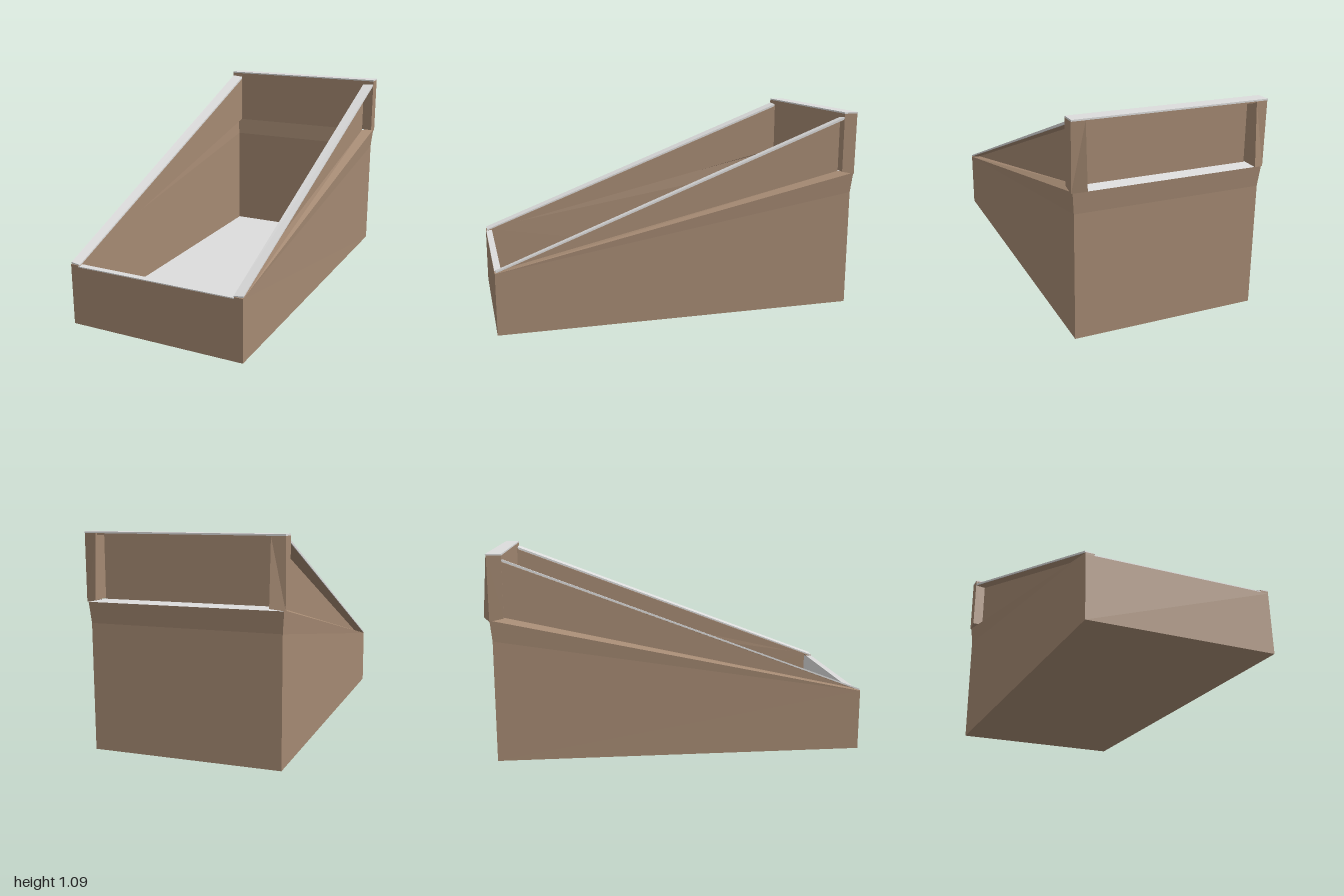
import * as THREE from 'three';

const brown = new THREE.MeshStandardMaterial({ name: 'brown timber', color: 0xa48972, side: THREE.DoubleSide, flatShading: true });
const grey = new THREE.MeshStandardMaterial({ name: 'pale grey', color: 0xdcdcdc, side: THREE.DoubleSide, flatShading: true });

// Mesh from a list of flat polygons, each cut into a fan of triangles
function faces(name, material, polygons) {
  const pos = [];
  for (const p of polygons)
    for (let i = 1; i < p.length - 1; i++) pos.push(...p[0], ...p[i], ...p[i + 1]);
  const geo = new THREE.BufferGeometry();
  geo.setAttribute('position', new THREE.Float32BufferAttribute(pos, 3));
  geo.computeVertexNormals();
  const mesh = new THREE.Mesh(geo, material);
  mesh.name = name;
  return mesh;
}

// Closed solid between two matching end loops
function loft(name, material, a, b) {
  const sides = a.map((p, i) => {
    const j = (i + 1) % a.length;
    return [p, a[j], b[j], b[i]];
  });
  return faces(name, material, [[...a].reverse(), b, ...sides]);
}

function box(name, material, x0, x1, y0, y1, z0, z1) {
  const mesh = new THREE.Mesh(new THREE.BoxGeometry(x1 - x0, y1 - y0, z1 - z0), material);
  mesh.position.set((x0 + x1) / 2, (y0 + y1) / 2, (z0 + z1) / 2);
  mesh.name = name;
  return mesh;
}

// One side of the bin: wall, ledge, inset panel, sloping rail and rear post
function buildSide(s) {
  const side = new THREE.Group();
  side.name = s > 0 ? 'leftSide' : 'rightSide';
  const P = (x, y, z) => [s * x, y, z];

  side.add(faces('lowerSideWall', brown, [[
    P(0.485, 0.325, 0.995), P(0.485, 0, 0.995), P(0.485, 0, -0.955),
    P(0.487, 0.64, -0.955), P(0.496, 0.75, -0.965),
  ]]));
  side.add(faces('sideLedge', brown, [[
    P(0.485, 0.325, 0.995), P(0.496, 0.75, -0.965), P(0.44, 0.755, -0.9), P(0.44, 0.325, 0.995),
  ]]));
  side.add(faces('upperSidePanel', brown, [[
    P(0.44, 0.325, 0.99), P(0.44, 0.755, -0.9), P(0.44, 1.045, -0.9),
  ]]));

  // Rail with a pale top and a brown underside
  const end = (xo, y, z, t) => [P(0.435, y - 0.007, z), P(xo, y, z), P(xo, y - t, z), P(0.435, y - 0.007 - t, z)];
  side.add(loft('slopingRail', grey, end(0.485, 0.338, 0.99, 0.008), end(0.502, 1.06, -0.895, 0.012)));
  side.add(faces('railUnderside', brown, [[
    P(0.435, 0.321, 0.99), P(0.484, 0.328, 0.99), P(0.5, 1.046, -0.895), P(0.435, 1.039, -0.895),
  ]]));

  // Wedge-shaped rear post, flaring backwards at its foot
  side.add(loft('rearPost', brown,
    [P(0.503, 0.76, -0.893), P(0.503, 0.745, -0.965), P(0.437, 0.758, -1), P(0.437, 0.76, -0.9)],
    [P(0.503, 1.076, -0.893), P(0.503, 1.078, -0.968), P(0.437, 1.078, -0.978), P(0.437, 1.076, -0.9)]));
  return side;
}

export function createModel() {
  const model = new THREE.Group();
  model.name = 'slopedBin';
  for (const s of [1, -1]) model.add(buildSide(s));

  // Floor, brown below and pale above
  model.add(box('floorBase', brown, -0.485, 0.485, 0, 0.004, -0.955, 0.99));
  model.add(box('floorLining', grey, -0.484, 0.484, 0.004, 0.008, -0.954, 0.985));

  // Low front wall with pale top and inner face
  model.add(box('frontWall', brown, -0.485, 0.485, 0, 0.318, 0.97, 0.995));
  model.add(box('frontLining', grey, -0.484, 0.484, 0.008, 0.318, 0.961, 0.969));
  model.add(box('frontRim', grey, -0.445, 0.445, 0.318, 0.323, 0.96, 0.994));
  for (const s of [1, -1])
    model.add(box('frontCorner', brown, s * 0.463 - 0.022, s * 0.463 + 0.022, 0.318, 0.328, 0.96, 0.995));

  // Back: lower wall, flared band, ledge, inset panel and top cap
  const across = (xa, ya, za, xb, yb, zb) => [[-xa, ya, za], [xa, ya, za], [xb, yb, zb], [-xb, yb, zb]];
  model.add(faces('lowerBackWall', brown, [
    across(0.485, 0, -0.955, 0.487, 0.64, -0.955),
    across(0.487, 0.64, -0.955, 0.496, 0.745, -0.965),
  ]));
  model.add(faces('backLedge', grey, [across(0.496, 0.745, -0.965, 0.44, 0.755, -0.9)]));
  model.add(faces('upperBackPanel', brown, [across(0.44, 0.755, -0.9, 0.44, 1.077, -0.9)]));
  model.add(box('backCapBase', brown, -0.503, 0.503, 1.07, 1.078, -0.968, -0.894));
  model.add(box('backCap', grey, -0.503, 0.503, 1.078, 1.086, -0.972, -0.893));
  return model;
}
